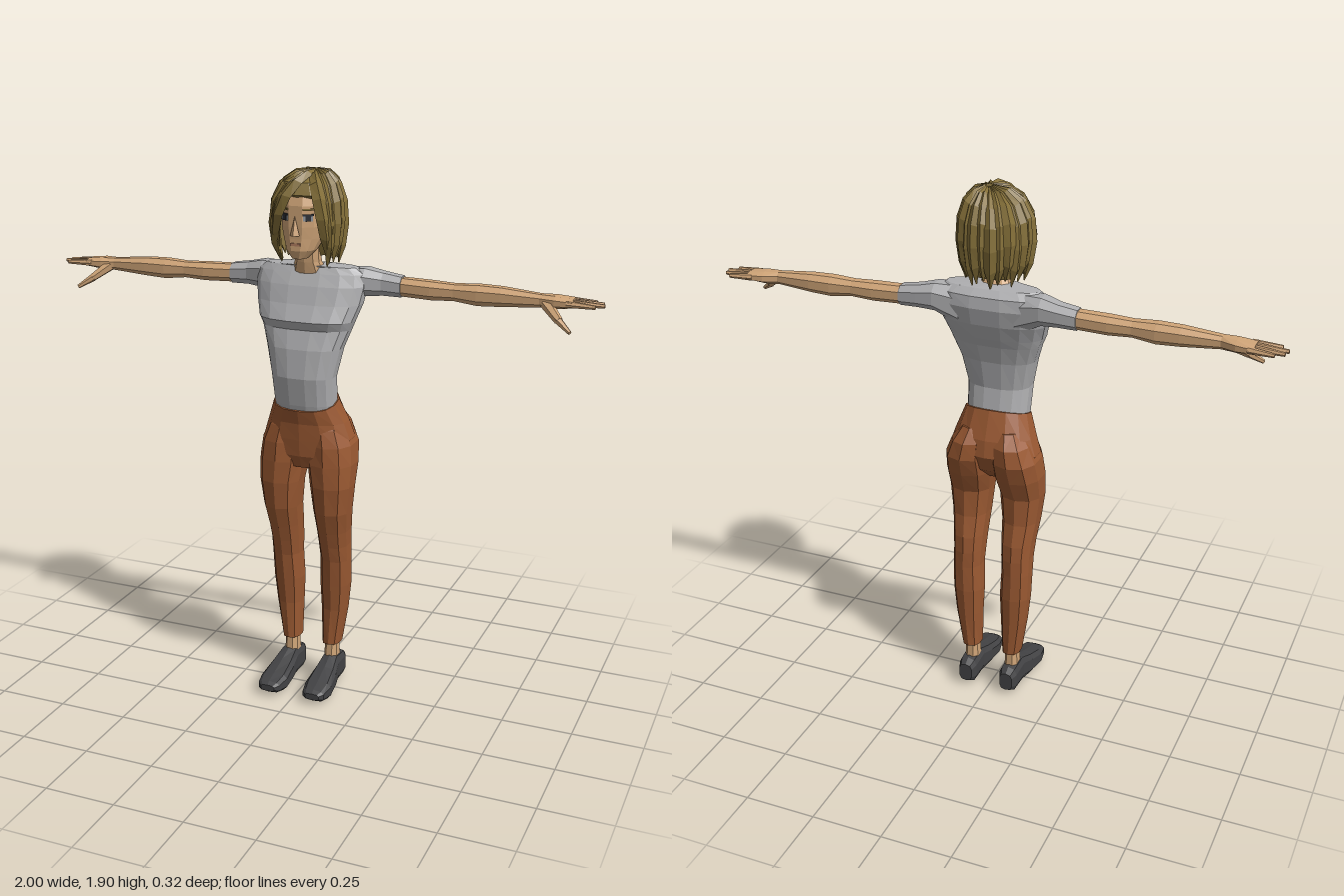
import * as THREE from 'three';

const V = (x, y, z) => new THREE.Vector3(x, y, z);
const mat = (name, color) => Object.assign(new THREE.MeshStandardMaterial({ color }), { name });

// Closed skin over a list of rings, with flat facets
function loft(rings) {
  const n = rings[0].length, idx = [], last = (rings.length - 1) * n;
  for (let r = 0; r < rings.length - 1; r++)
    for (let i = 0; i < n; i++) {
      const a = r * n + i, b = r * n + (i + 1) % n;
      idx.push(a, b, a + n, b, b + n, a + n);
    }
  for (let i = 1; i < n - 1; i++) idx.push(0, i + 1, i, last, last + i, last + i + 1);
  const g = new THREE.BufferGeometry().setFromPoints(rings.flat());
  g.setIndex(idx);
  return flat(g);
}

function flat(g) {
  const f = g.index ? g.toNonIndexed() : g;
  f.computeVertexNormals();
  return f;
}

// Rows are [y, x0, x1, z0, z1, tilt]; p below 1 makes the section squarer
function body(rows, n = 10, p = 0.85) {
  const pw = v => Math.sign(v) * Math.abs(v) ** p;
  return loft(rows.map(([y, x0, x1, z0, z1, tilt = 0]) =>
    Array.from({ length: n }, (_, i) => {
      const a = (i + 0.5) / n * Math.PI * 2, s = -pw(Math.sin(a));
      return V((x0 + x1) / 2 + (x1 - x0) / 2 * pw(Math.cos(a)), y - tilt * s / 2,
        (z0 + z1) / 2 + (z1 - z0) / 2 * s);
    })));
}

// Rows along x: [x, y0, y1, z0, z1]; rows along z: [z, x0, x1, y0, y1]
const alongX = (rows, n, p) => flat(body(rows.map(([x, y0, y1, a, b]) => [x, -y1, -y0, a, b]), n, p).rotateZ(-Math.PI / 2));
const alongZ = (rows, n, p) => flat(body(rows.map(([z, a, b, y0, y1]) => [z, a, b, -y1, -y0]), n, p).rotateX(Math.PI / 2));
const wide = rows => rows.map(([y, x, ...rest]) => [y, -x, x, ...rest]);

// Tapered stick between two points
function stick(a, b, ra, rb) {
  const d = b.clone().sub(a), g = new THREE.CylinderGeometry(rb, ra, d.length(), 6);
  g.applyQuaternion(new THREE.Quaternion().setFromUnitVectors(V(0, 1, 0), d.clone().normalize()));
  g.translate(...a.clone().add(b).multiplyScalar(0.5).toArray());
  return flat(g);
}

// Mirrored copy across x with the corner order put right
function mirror(g) {
  const m = g.clone().scale(-1, 1, 1), p = m.attributes.position;
  for (let i = 0; i < p.count; i += 3) {
    const a = V().fromBufferAttribute(p, i), b = V().fromBufferAttribute(p, i + 1);
    p.setXYZ(i, b.x, b.y, b.z);
    p.setXYZ(i + 1, a.x, a.y, a.z);
  }
  return flat(m);
}

// One hair lock running from the crown down around the head
const FALL = [[1.886, 0.12], [1.878, 0.48], [1.845, 0.8], [1.79, 0.98], [1.72, 1.02], [1.65, 0.95], [1.585, 0.82]];
const WIDTH = [0.35, 0.75, 1, 1.1, 1.1, 0.9, 0.15];
function lock(from, to, w, out = 1, drop = 0) {
  return loft(FALL.map(([y, r], k) => {
    const t = k / (FALL.length - 1), phi = THREE.MathUtils.degToRad(from + (to - from) * t);
    const s = Math.sin(phi), c = Math.cos(phi);
    const pos = V(0.112 * r * out * s + 0.025 * Math.max(0, 1 - r), y + drop * t, -0.02 + 0.122 * r * out * c);
    const nrm = pos.clone().sub(V(0, 1.74, -0.02)).normalize().multiplyScalar(k === 6 ? 0.004 : 0.016);
    const e = V(c, 0, -s).multiplyScalar(w * WIDTH[k]);
    return [pos.clone().add(nrm), pos.clone().sub(e), pos.clone().sub(nrm), pos.clone().add(e)];
  }));
}

export function createModel() {
  const model = new THREE.Group();
  model.name = 'figure';
  const skin = mat('skin', 0xd0a578), shirt = mat('shirt grey', 0xafafb1), cloth = mat('trouser brown', 0x9a5932);
  const hair = mat('hair blond', 0x857039), shoe = mat('shoe charcoal', 0x434345);
  const dark = mat('eye dark', 0x2a2d33), white = mat('eye grey', 0x8d939a), lip = mat('lip', 0xb57f62);

  const add = (name, geo, m, parent = model) => {
    const mesh = new THREE.Mesh(geo, m);
    mesh.name = name;
    parent.add(mesh);
    return mesh;
  };
  const pair = (name, geo, m) => {
    add('left ' + name, geo, m);
    add('right ' + name, mirror(geo), m);
  };

  // Shirt
  add('shirt', body(wide([
    [1.05, 0.1, -0.06, 0.07], [1.1, 0.111, -0.076, 0.083], [1.2, 0.115, -0.057, 0.1], [1.3, 0.137, -0.07, 0.09],
    [1.365, 0.16, -0.088, 0.07], [1.395, 0.172, -0.1, 0.083], [1.45, 0.19, -0.12, 0.055], [1.51, 0.2, -0.132, 0.033],
    [1.55, 0.195, -0.125, 0.012], [1.572, 0.165, -0.1, 0], [1.577, 0.06, -0.07, 0.015]]), 16, 0.8), shirt);
  pair('sleeve', alongX([
    [0.1, 1.42, 1.57, -0.12, 0], [0.19, 1.47, 1.572, -0.132, -0.025], [0.25, 1.475, 1.558, -0.13, -0.045],
    [0.316, 1.474, 1.548, -0.127, -0.05]], 8), shirt);

  // Arms and hands
  pair('arm', alongX([
    [0.3, 1.478, 1.544, -0.123, -0.054], [0.42, 1.474, 1.541, -0.125, -0.05], [0.5, 1.478, 1.537, -0.12, -0.054],
    [0.58, 1.468, 1.542, -0.127, -0.05], [0.66, 1.472, 1.54, -0.125, -0.052], [0.79, 1.482, 1.528, -0.113, -0.06],
    [0.84, 1.482, 1.527, -0.132, -0.05], [0.9, 1.489, 1.521, -0.14, -0.048]], 8), skin);
  [[-0.127, -0.136, 0.965], [-0.105, -0.113, 0.993], [-0.083, -0.085, 1.0], [-0.061, -0.056, 0.975]].forEach(([z0, z1, x], i) =>
    pair('finger ' + (i + 1), stick(V(0.88, 1.506, z0), V(x, 1.503, z1), 0.0125, 0.007), skin));
  pair('thumb base', stick(V(0.81, 1.5, -0.075), V(0.865, 1.455, -0.03), 0.021, 0.014), skin);
  pair('thumb tip', stick(V(0.86, 1.458, -0.033), V(0.908, 1.425, -0.005), 0.014, 0.007), skin);

  // Trousers
  add('hips', body(wide([
    [0.865, 0.08, -0.06, 0.05], [0.91, 0.155, -0.11, 0.066], [0.97, 0.164, -0.135, 0.07], [1.03, 0.144, -0.125, 0.073],
    [1.105, 0.116, -0.085, 0.085, 0.05]]), 14), cloth);
  pair('trouser leg', body([
    [0.16, 0.045, 0.113, -0.106, -0.014], [0.3, 0.04, 0.136, -0.112, -0.014], [0.4, 0.036, 0.146, -0.117, -0.004],
    [0.5, 0.04, 0.148, -0.115, 0.007], [0.56, 0.037, 0.148, -0.115, 0.022], [0.62, 0.034, 0.152, -0.11, 0.04],
    [0.7, 0.029, 0.162, -0.093, 0.065], [0.8, 0.018, 0.174, -0.09, 0.075], [0.88, 0.004, 0.177, -0.125, 0.075],
    [0.95, 0.004, 0.17, -0.15, 0.071], [1.01, 0.008, 0.145, -0.143, 0.06], [1.06, 0.02, 0.11, -0.11, 0.04]]), cloth);

  // Ankles and shoes
  pair('ankle', body([[0.08, 0.052, 0.106, -0.095, -0.02], [0.2, 0.056, 0.102, -0.09, -0.026]], 8), skin);
  pair('shoe', alongZ([
    [-0.13, 0.056, 0.106, 0.02, 0.09], [-0.105, 0.046, 0.116, 0.004, 0.106], [-0.03, 0.046, 0.118, 0.004, 0.115],
    [0.03, 0.039, 0.13, 0, 0.092], [0.1, 0.035, 0.138, 0, 0.07], [0.148, 0.045, 0.13, 0.012, 0.056],
    [0.163, 0.06, 0.115, 0.022, 0.046]], 10, 0.65), shoe);

  // Head and neck
  add('neck', body(wide([[1.55, 0.062, -0.075, 0.015], [1.59, 0.046, -0.05, 0.022], [1.67, 0.045, -0.05, 0.03]])), skin);
  add('head', body(wide([
    [1.612, 0.026, 0.02, 0.088], [1.64, 0.05, -0.02, 0.098], [1.68, 0.067, -0.07, 0.098], [1.72, 0.078, -0.1, 0.1],
    [1.79, 0.078, -0.1, 0.1], [1.84, 0.07, -0.09, 0.085], [1.87, 0.045, -0.06, 0.05]]), 12), skin);
  const nose = new THREE.ConeGeometry(0.017, 0.065, 4).translate(0, 1.725, 0.102);
  add('nose', flat(nose), skin);
  add('mouth', new THREE.BoxGeometry(0.036, 0.009, 0.008), lip).position.set(0, 1.662, 0.096);

  // Eyes and brows
  for (const s of [1, -1]) {
    const eye = new THREE.Group();
    eye.name = (s > 0 ? 'left' : 'right') + ' eye';
    eye.position.set(s * 0.041, 1.75, 0.087);
    eye.rotation.y = s * 0.6;
    const plate = (name, w, h, y, z, m) => add(name, new THREE.BoxGeometry(w, h, 0.004), m, eye).position.set(0, y, z);
    plate('eye white', 0.034, 0.018, 0, 0.001, white);
    plate('iris', 0.018, 0.019, 0, 0.003, dark);
    plate('lashes', 0.038, 0.006, 0.011, 0.003, dark);
    plate('brow', 0.038, 0.006, 0.029, 0.002, hair);
    model.add(eye);
  }

  // Hair: a cap, a ring of locks and a side-parted fringe
  add('hair cap', body(wide([
    [1.61, 0.08, -0.105, -0.01], [1.68, 0.1, -0.13, 0.025], [1.78, 0.108, -0.138, 0.035], [1.825, 0.103, -0.132, 0.1],
    [1.865, 0.078, -0.1, 0.085], [1.885, 0.04, -0.06, 0.045]]), 14), hair);
  const locks = 17;
  for (let i = 0; i < locks; i++) {
    const phi = 62 + 236 * i / (locks - 1);
    add('hair lock ' + (i + 1), lock(phi, phi, 0.023, i % 2 ? 1.04 : 1, i % 3 * 0.012), hair);
  }
  [[20, -52, 0.024, 1.14, 0.06], [0, -60, 0.026, 1.1, 0.02], [-28, -66, 0.026, 1.06, 0.01], [24, 56, 0.022, 1.1, 0.04],
    [42, 64, 0.024, 1.05, 0.01]].forEach((f, i) => add('fringe lock ' + (i + 1), lock(...f), hair));

  return model;
}
